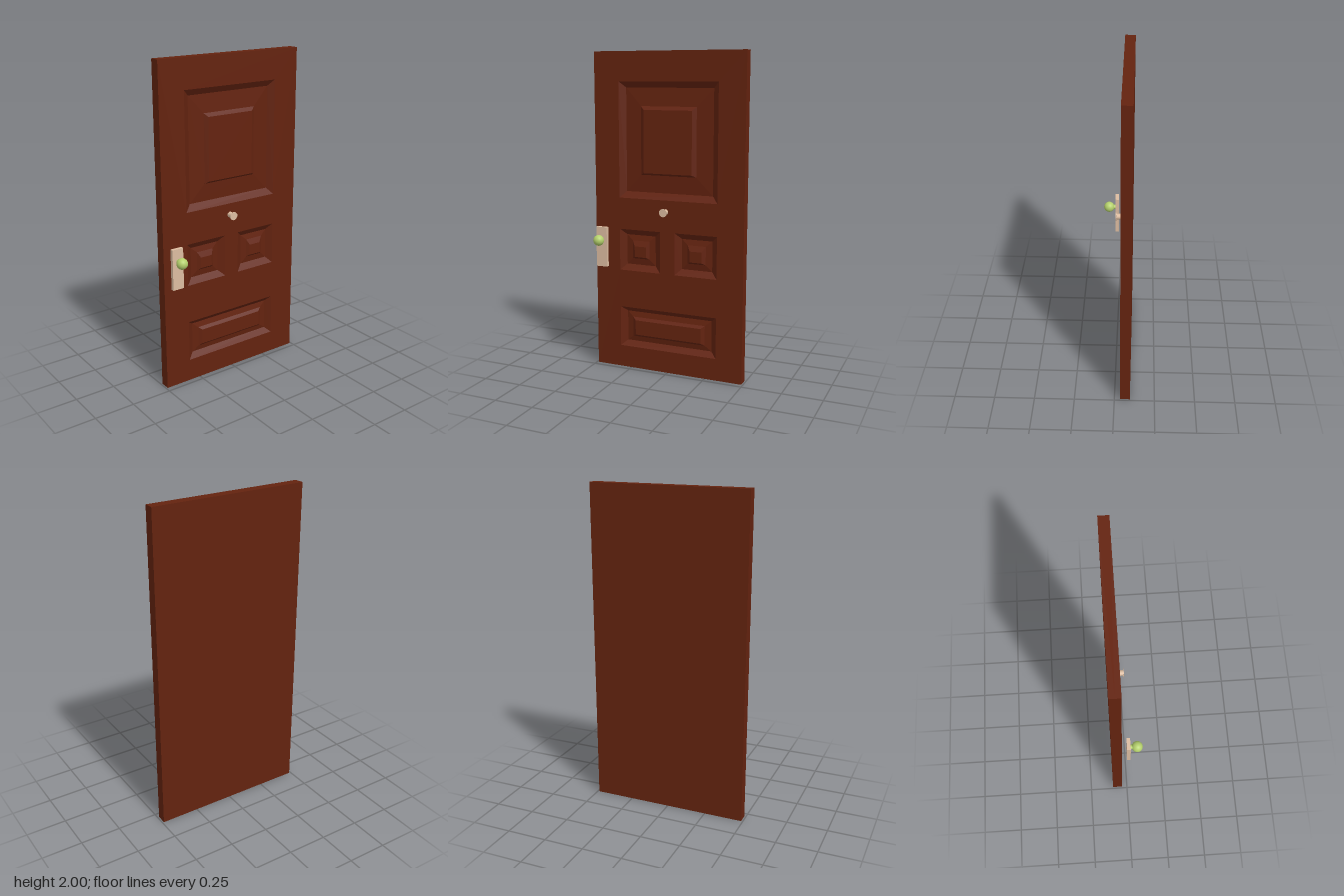
import * as THREE from 'three';

const W = 0.98, H = 2, BACK = -0.097, FRONT = -0.035, MID = -0.067;

// Each panel is a set of nested rectangles [x0, x1, y0, y1], from the rim to the raised centre
const PANELS = {
  topPanel: [[-0.325, 0.322, 1.105, 1.82], [-0.285, 0.285, 1.145, 1.783], [-0.183, 0.18, 1.253, 1.672], [-0.16, 0.155, 1.265, 1.65]],
  middleRightPanel: [[-0.325, -0.05, 0.642, 0.906], [-0.285, -0.09, 0.68, 0.87], [-0.245, -0.13, 0.72, 0.835], [-0.225, -0.147, 0.732, 0.8]],
  middleLeftPanel: [[0.047, 0.322, 0.642, 0.906], [0.087, 0.285, 0.68, 0.87], [0.127, 0.245, 0.72, 0.835], [0.145, 0.222, 0.732, 0.8]],
  bottomPanel: [[-0.325, 0.322, 0.14, 0.4], [-0.285, 0.285, 0.175, 0.37], [-0.245, 0.243, 0.208, 0.335], [-0.222, 0.22, 0.222, 0.317]],
};
// Depth of each rectangle below the door face
const DEPTHS = [0, 0.026, 0.019, 0.005];

function corners([x0, x1, y0, y1], z) {
  return [[x0, y0, z], [x1, y0, z], [x1, y1, z], [x0, y1, z]];
}

// Joins the nested rectangles with sloping strips and closes the centre
function panelGeometry(rects) {
  const pos = [];
  const quad = (a, b, c, d) => pos.push(...a, ...b, ...c, ...a, ...c, ...d);
  const rings = rects.map((r, i) => corners(r, FRONT - DEPTHS[i]));
  for (let i = 0; i < rings.length - 1; i++) {
    for (let k = 0; k < 4; k++) {
      const n = (k + 1) % 4;
      quad(rings[i][k], rings[i][n], rings[i + 1][n], rings[i + 1][k]);
    }
  }
  quad(...rings[rings.length - 1]);
  const g = new THREE.BufferGeometry();
  g.setAttribute('position', new THREE.Float32BufferAttribute(pos, 3));
  g.computeVertexNormals();
  return g;
}

export function createModel() {
  const door = new THREE.Group();
  door.name = 'door';
  const wood = new THREE.MeshStandardMaterial({ color: 0x64230f });
  wood.name = 'redBrownWood';
  const beige = new THREE.MeshStandardMaterial({ color: 0xdcbca0 });
  beige.name = 'beigeMetal';
  const green = new THREE.MeshStandardMaterial({ color: 0xb4d06c });
  green.name = 'yellowGreenKnob';

  const add = (name, geometry, material, x = 0, y = 0, z = 0) => {
    const m = new THREE.Mesh(geometry, material);
    m.name = name;
    m.position.set(x, y, z);
    door.add(m);
    return m;
  };
  // Cylinder running along z from z0 to z1
  const rod = (name, r, sides, z0, z1, material, x, y) =>
    add(name, new THREE.CylinderGeometry(r, r, z1 - z0, sides).rotateX(Math.PI / 2), material, x, y, (z0 + z1) / 2);

  // Plain back half of the slab
  add('backSlab', new THREE.BoxGeometry(W, H, MID - BACK), wood, 0, H / 2, (BACK + MID) / 2);

  // Front half with openings for the panels
  const outline = new THREE.Shape(corners([-W / 2, W / 2, 0, H], 0).map(([x, y]) => new THREE.Vector2(x, y)));
  for (const rects of Object.values(PANELS)) {
    outline.holes.push(new THREE.Path(corners(rects[0], 0).reverse().map(([x, y]) => new THREE.Vector2(x, y))));
  }
  add('frontFrame', new THREE.ExtrudeGeometry(outline, { depth: FRONT - MID, bevelEnabled: false }), wood, 0, 0, MID);

  // Sunken panels with raised centres
  for (const [name, rects] of Object.entries(PANELS)) add(name, panelGeometry(rects), wood);

  // Handle: plate, stem and round knob
  add('handlePlate', new THREE.BoxGeometry(0.073, 0.253, 0.022), beige, -0.426, 0.793, 0.01);
  rod('knobStem', 0.014, 16, 0.02, 0.036, green, -0.425, 0.842);
  add('knob', new THREE.SphereGeometry(0.034, 20, 14), green, -0.425, 0.842, 0.063);

  // Peephole: barrel and thin flange
  rod('peepholeBarrel', 0.018, 12, FRONT - 0.005, 0.004, beige, -0.013, 1.034);
  rod('peepholeFlange', 0.026, 10, 0.003, 0.007, beige, -0.013, 1.034);

  return door;
}
